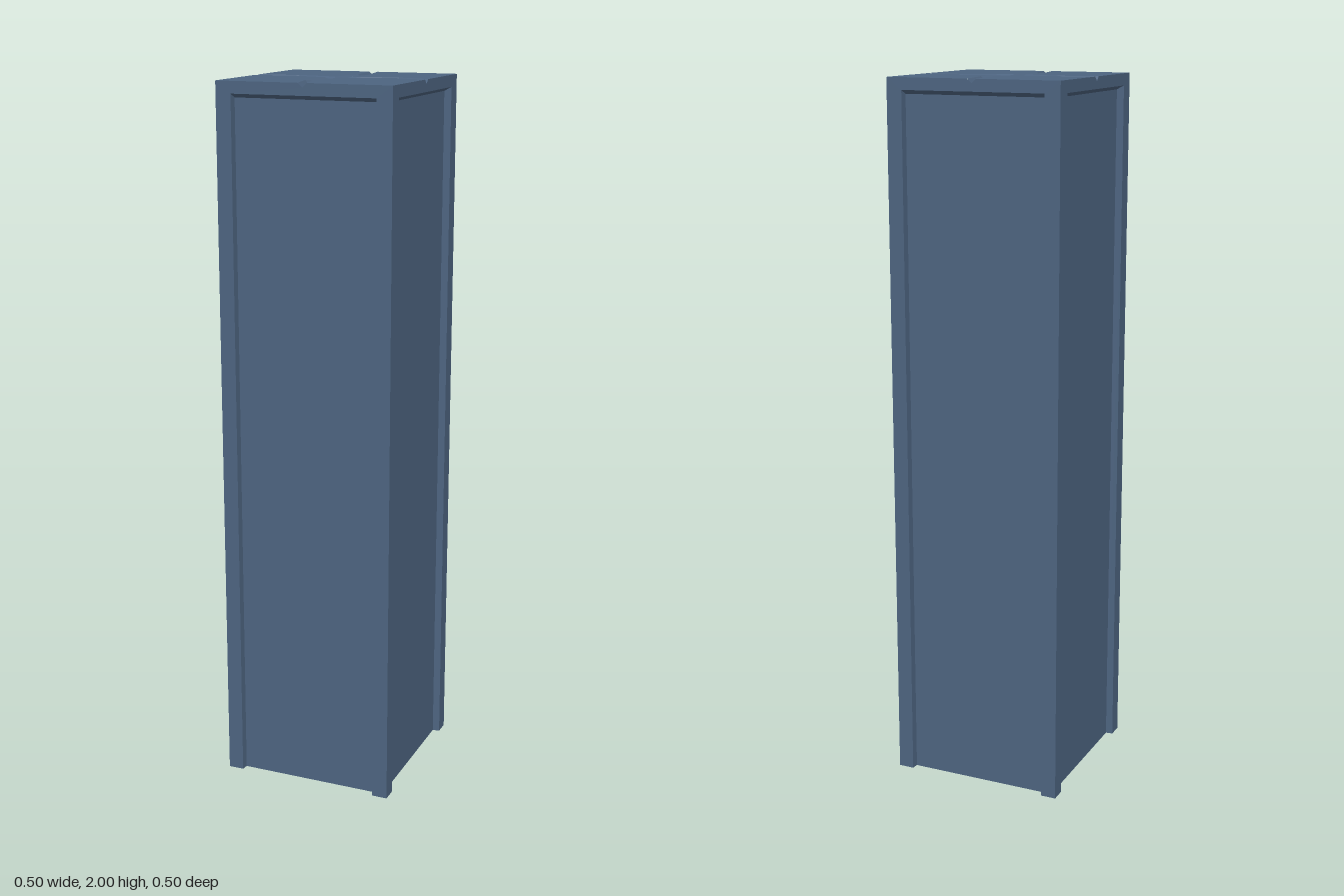
import * as THREE from 'three';

const H = 0.25;        // half width
const TOP = 2;         // height
const DEPTH = 0.02;    // panel recess
const CRACK = 0.012;   // crack depth
const IN = 0.206;      // half width of the recess

const v2 = (pts) => pts.map(([x, y]) => new THREE.Vector2(x, y));
const flat = (pts) => new THREE.ShapeGeometry(new THREE.Shape(v2(pts)));

// Faceted surface between two lines of 3D points
function strip(a, b) {
  const pos = [];
  for (let i = 0; i < a.length - 1; i++) {
    pos.push(...a[i], ...b[i], ...b[i + 1], ...a[i], ...b[i + 1], ...a[i + 1]);
  }
  const g = new THREE.BufferGeometry();
  g.setAttribute('position', new THREE.Float32BufferAttribute(pos, 3));
  g.computeVertexNormals();
  return g;
}

export function createModel() {
  const group = new THREE.Group();
  group.name = 'crackedPillar';
  const stone = new THREE.MeshStandardMaterial({ color: 0x4d6480, flatShading: true });
  stone.name = 'blue stone';

  const add = (parent, name, geometry) => {
    const mesh = new THREE.Mesh(geometry, stone);
    mesh.name = name;
    parent.add(mesh);
    return mesh;
  };

  // Four sides: raised frame, sloped lintel edge and recessed panel
  const lintel = 1.967, panelTop = 1.956;
  for (let i = 0; i < 4; i++) {
    const side = new THREE.Group();
    side.name = 'side' + (i + 1);
    side.rotation.y = i * Math.PI / 2;
    group.add(side);

    add(side, 'frame', flat([
      [-H, 0], [-IN, 0], [-IN, lintel], [IN, lintel], [IN, 0], [H, 0],
      [H, TOP], [0.0125, TOP], [0, TOP - CRACK], [-0.0125, TOP], [-H, TOP],
    ])).position.z = H;

    const outer = [[-IN, 0, H], [-IN, lintel, H], [IN, lintel, H], [IN, 0, H]];
    const z = H - DEPTH, p = IN - 0.002;
    const inner = [[-p, 0, z], [-p, panelTop, z], [p, panelTop, z], [p, 0, z]];
    add(side, 'recessEdge', strip(outer, inner));

    const panel = add(side, 'panel', new THREE.PlaneGeometry(2 * p, panelTop));
    panel.position.set(0, panelTop / 2, z);
  }

  // Underside with square corner posts
  const foot = [];
  const r = H - DEPTH;
  for (let i = 0; i < 4; i++) {
    const c = Math.round(Math.cos(i * Math.PI / 2)), s = Math.round(Math.sin(i * Math.PI / 2));
    for (const [x, y] of [[r, -IN], [r, IN], [H, IN], [H, H], [IN, H], [IN, r]]) {
      foot.push([x * c - y * s, x * s + y * c]);
    }
  }
  add(group, 'underside', flat(foot)).rotation.x = Math.PI / 2;

  // Crack floors run from each outer edge to the meeting point, as [x, z]
  const centre = [-0.01, 0.01];
  const left = [[-H, 0], [-0.135, -0.024]];
  const back = [[0, -H], [0.025, -0.11]];
  const right = [[H, 0], [0.157, -0.029]];
  const front = [[0, H], [-0.026, 0.145]];
  const valley = (a, b) => [...a, centre, ...[...b].reverse()];

  // Top slabs: rim along the crack, crack floor, outer corner
  const slabs = [
    ['backLeftSlab', [[-H, -0.013], [-0.135, -0.036], [-0.018, -0.012], [0.008, -0.11], [-0.013, -H]],
      valley(left, back), [-H, -H]],
    ['backRightSlab', [[0.012, -H], [0.039, -0.11], [0.028, -0.022], [0.157, -0.04], [H, -0.013]],
      valley(back, right), [H, -H]],
    ['frontRightSlab', [[H, 0.012], [0.157, -0.013], [0.008, 0.03], [-0.012, 0.145], [0.012, H]],
      valley(right, front), [H, H]],
    ['frontLeftSlab', [[-0.013, H], [-0.038, 0.145], [-0.033, 0.024], [-0.135, -0.003], [-H, 0.012]],
      valley(front, left), [-H, H]],
  ];
  for (const [name, rim, floor, corner] of slabs) {
    const slab = add(group, name, flat([...rim, corner].map(([x, z]) => [x, -z])));
    slab.rotation.x = -Math.PI / 2;
    slab.position.y = TOP;
    add(group, name + 'CrackWall', strip(
      rim.map(([x, z]) => [x, TOP, z]),
      floor.map(([x, z]) => [x, TOP - CRACK, z]),
    ));
  }
  return group;
}
